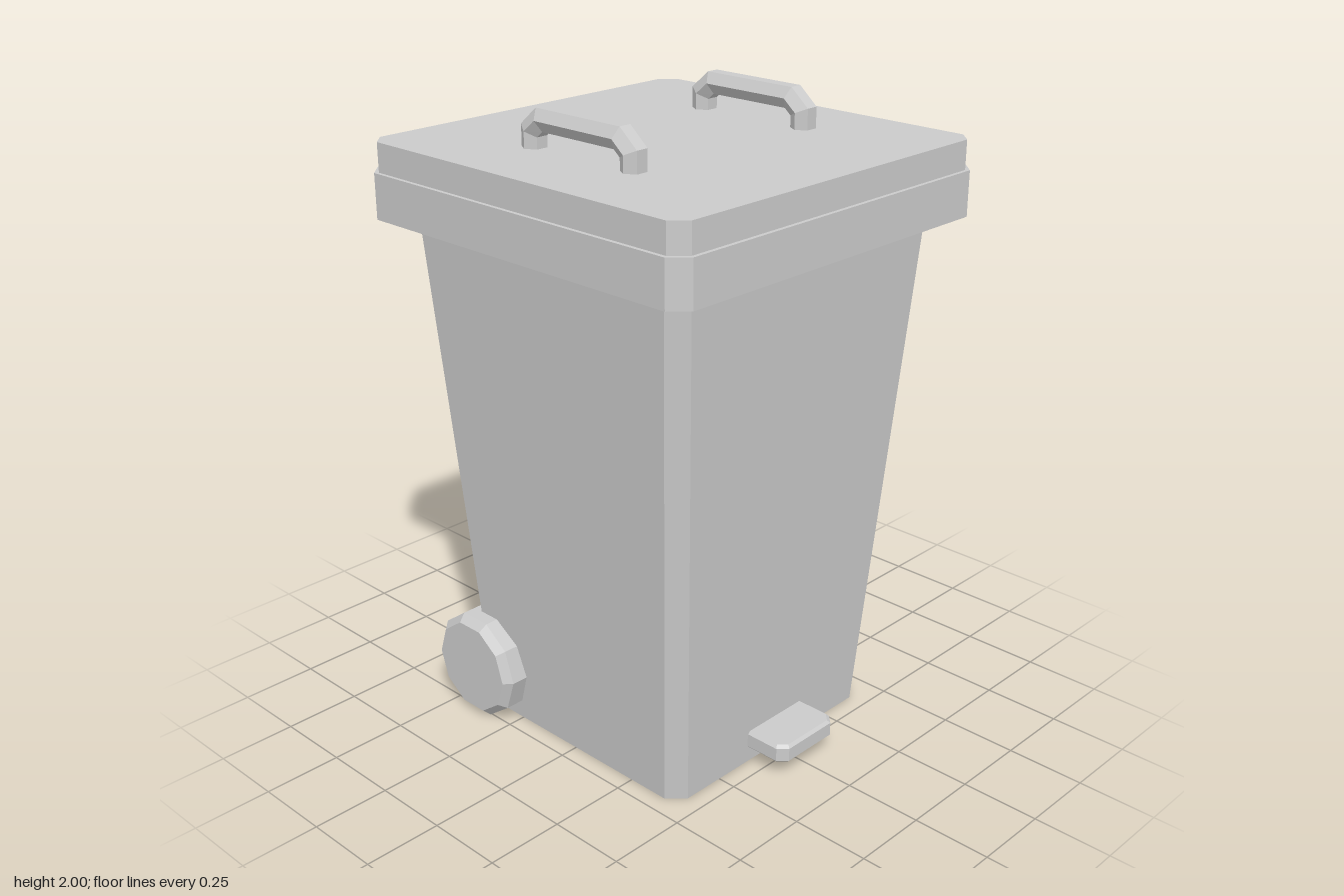
import * as THREE from 'three';

const material = new THREE.MeshStandardMaterial({ color: 0xcccccc, flatShading: true });

// Closed solid through a list of matching rings (counterclockwise seen from the far end)
function loft(rings) {
  const n = rings[0].length, index = [];
  for (let i = 0; i < rings.length - 1; i++) {
    for (let j = 0; j < n; j++) {
      const a = i * n + j, b = i * n + (j + 1) % n;
      index.push(a, b, b + n, a, b + n, a + n);
    }
  }
  const last = (rings.length - 1) * n;
  for (let j = 1; j < n - 1; j++) {
    index.push(0, j + 1, j, last, last + j, last + j + 1);
  }
  const g = new THREE.BufferGeometry();
  g.setAttribute('position', new THREE.Float32BufferAttribute(rings.flat(2), 3));
  g.setIndex(index);
  const flat = g.toNonIndexed();
  flat.computeVertexNormals();
  return flat;
}

// Rectangle in plan with cut corners
function cutRect(y, hx, hz, c) {
  return [
    [hx, y, hz - c], [hx, y, c - hz], [hx - c, y, -hz], [c - hx, y, -hz],
    [-hx, y, c - hz], [-hx, y, hz - c], [c - hx, y, hz], [hx - c, y, hz],
  ];
}

// Regular ten-sided ring
function decagon(y, r) {
  return Array.from({ length: 10 }, (_, k) => {
    const a = Math.PI / 2 + k * Math.PI / 5;
    return [r * Math.cos(a), y, -r * Math.sin(a)];
  });
}

// Hexagonal bar bent along an arch: outer, middle and inner [z, y] at each bend
function handleGeometry() {
  const half = [
    [[0.203, 1.87], [0.17, 1.87], [0.137, 1.87]],
    [[0.203, 1.945], [0.17, 1.93], [0.137, 1.915]],
    [[0.138, 2.0], [0.126, 1.967], [0.114, 1.934]],
  ].map(s => s.map(([z, y]) => [z + 0.03, y]));
  const mirrored = half.map(s => s.map(([z, y]) => [-z, y])).reverse();
  return loft([...half, ...mirrored].map(([o, m, i]) => [
    [0.04, m[1], m[0]], [0.02, i[1], i[0]], [-0.02, i[1], i[0]],
    [-0.04, m[1], m[0]], [-0.02, o[1], o[0]], [0.02, o[1], o[0]],
  ]));
}

export function createModel() {
  const model = new THREE.Group();
  model.name = 'wheeledBin';
  const add = (name, geometry, x = 0, y = 0, z = 0) => {
    const mesh = new THREE.Mesh(geometry, material);
    mesh.name = name;
    mesh.position.set(x, y, z);
    model.add(mesh);
    return mesh;
  };

  // Tapered body, rim and lid
  add('body', loft([cutRect(0, 0.44, 0.44, 0.05), cutRect(1.66, 0.55, 0.55, 0.05)]));
  add('rim', loft([cutRect(1.65, 0.637, 0.637, 0.05), cutRect(1.79, 0.637, 0.637, 0.05)]));
  add('lid', loft([cutRect(1.78, 0.625, 0.625, 0.045), cutRect(1.88, 0.625, 0.625, 0.045)]));

  // Lid handles
  const handle = handleGeometry();
  add('leftHandle', handle, 0.365, 0, -0.013);
  add('rightHandle', handle, -0.345, 0, -0.013);

  // Foot pedal with softened edges
  add('pedal', loft([
    cutRect(0.053, 0.118, 0.088, 0.025), cutRect(0.062, 0.127, 0.097, 0.028),
    cutRect(0.105, 0.127, 0.097, 0.028), cutRect(0.114, 0.118, 0.088, 0.025),
  ]), 0, 0, 0.493);

  // Bevelled wheels at the back corners
  const wheel = loft([
    decagon(-0.063, 0.153), decagon(-0.038, 0.177),
    decagon(0.038, 0.177), decagon(0.063, 0.153),
  ]);
  for (const side of [1, -1]) {
    const mesh = add(side > 0 ? 'leftWheel' : 'rightWheel', wheel, side * 0.469, 0.17, -0.392);
    mesh.rotation.z = -side * Math.PI / 2;
  }
  return model;
}
